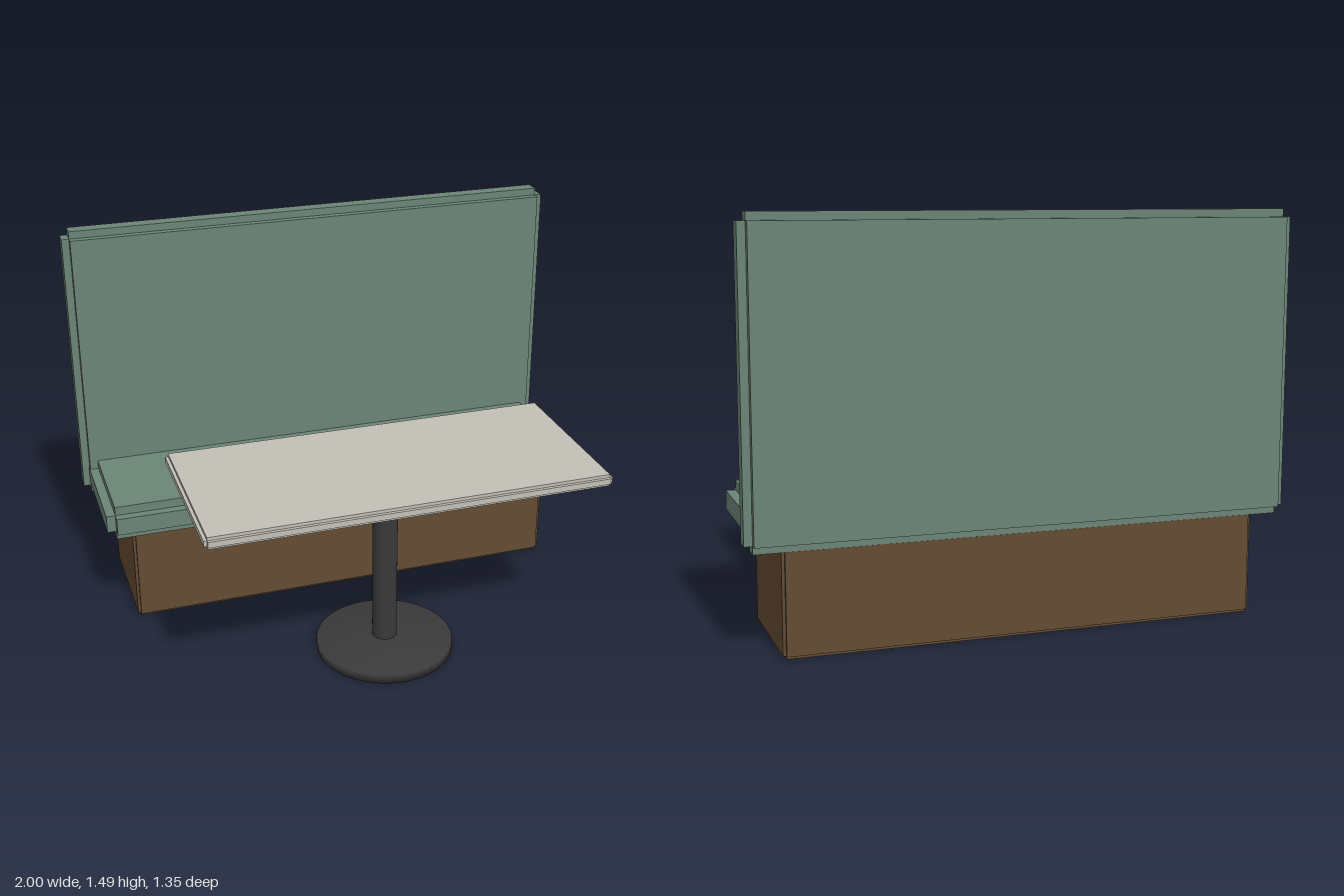
import * as THREE from 'three';

const material = (name, color) => {
  const m = new THREE.MeshStandardMaterial({ color });
  m.name = name;
  return m;
};

// Block with stepped edges: three crossing boxes, each reaching full size along one axis
function steppedBlock(name, mat, min, max, step) {
  const group = new THREE.Group();
  group.name = name;
  const size = max.map((v, i) => v - min[i]);
  for (let axis = 0; axis < 3; axis++) {
    const dims = size.map((s, i) => (i === axis ? s : s - 2 * step));
    const mesh = new THREE.Mesh(new THREE.BoxGeometry(...dims), mat);
    mesh.name = name + ['Width', 'Height', 'Depth'][axis];
    mesh.position.set(...min.map((v, i) => (v + max[i]) / 2));
    group.add(mesh);
  }
  return group;
}

export function createModel() {
  const green = material('green upholstery', 0x6c8577);
  const wood = material('brown wood', 0x644b32);
  const stone = material('pale tabletop', 0xc3bfb7);
  const metal = material('dark metal', 0x3a3a3a);

  const model = new THREE.Group();
  model.name = 'boothAndTable';

  // Bench
  const bench = new THREE.Group();
  bench.name = 'bench';
  bench.add(
    steppedBlock('benchBase', wood, [-0.875, 0, -0.645], [0.875, 0.382, -0.155], 0.011),
    steppedBlock('seat', green, [-0.974, 0.381, -0.64], [0.974, 0.52, -0.1], 0.035),
    steppedBlock('backrest', green, [-1, 0.37, -0.673], [1, 1.488, -0.557], 0.029)
  );

  // Table
  const table = new THREE.Group();
  table.name = 'table';
  const top = steppedBlock('tabletop', stone, [-0.755, 0.741, -0.342], [0.755, 0.787, 0.342], 0.012);

  const column = new THREE.Mesh(new THREE.CylinderGeometry(0.047, 0.047, 0.7, 32), metal);
  column.name = 'tableColumn';
  column.position.y = 0.39;

  const profile = [[0, 0], [0.263, 0], [0.263, 0.037], [0.06, 0.052], [0, 0.052]];
  const foot = new THREE.Mesh(
    new THREE.LatheGeometry(profile.map(([r, y]) => new THREE.Vector2(r, y)), 40), metal);
  foot.name = 'tableFoot';

  table.add(top, column, foot);
  table.position.z = 0.333;

  model.add(bench, table);
  return model;
}
